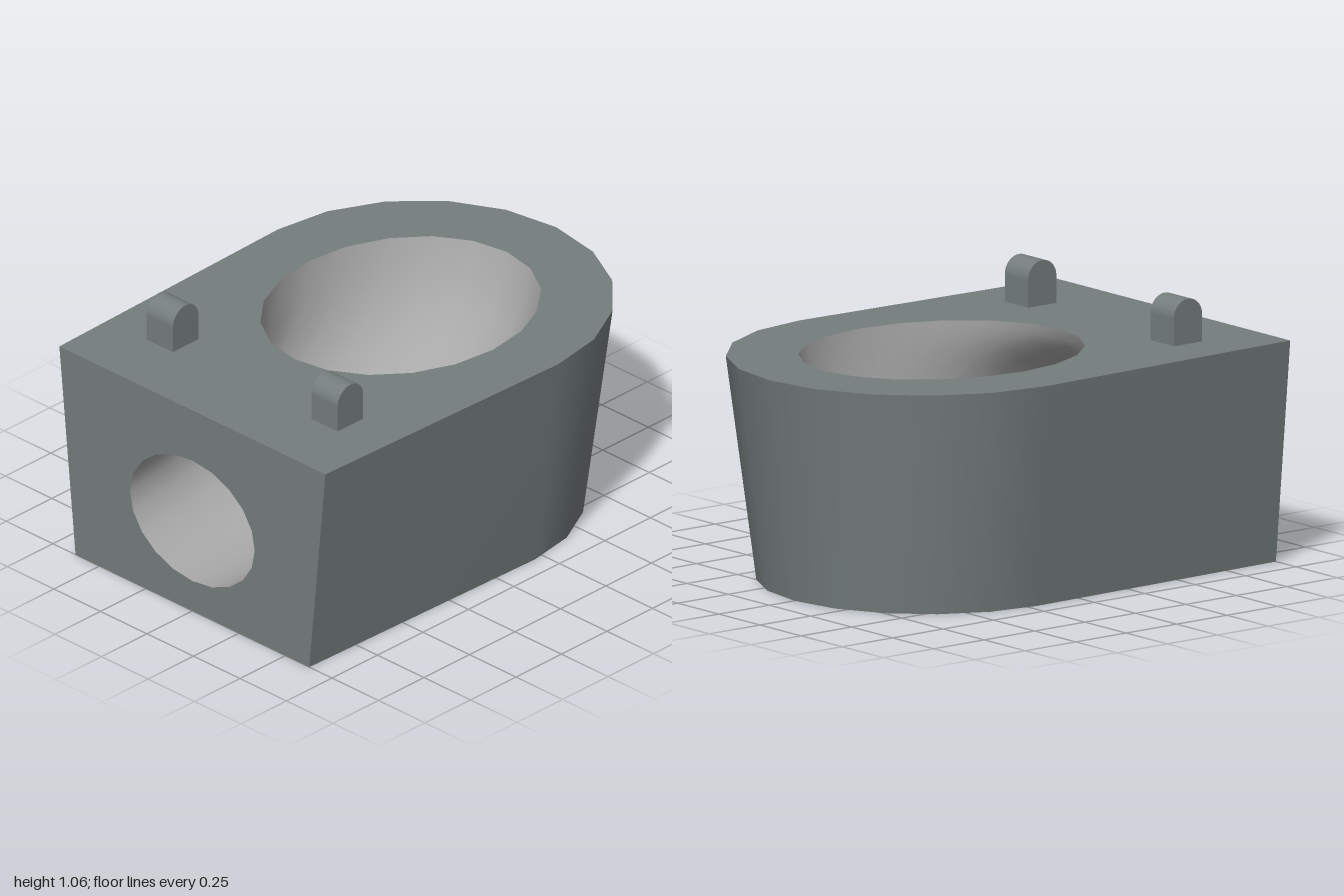
import * as THREE from 'three';

const TOP = 0.885, BACK = -1, SEGMENTS = 20, BENDS = 10;

// Skin over a stack of point rows, smooth all over
function loft(rows, closed) {
  const n = rows[0].length, index = [];
  for (let r = 0; r < rows.length - 1; r++) {
    for (let i = 0; i < (closed ? n : n - 1); i++) {
      const j = (i + 1) % n, upper = r * n, lower = upper + n;
      index.push(lower + i, lower + j, upper + j, lower + i, upper + j, upper + i);
    }
  }
  const geometry = new THREE.BufferGeometry().setFromPoints(rows.flat());
  geometry.setIndex(index);
  geometry.computeVertexNormals();
  return geometry;
}

// Half-round outline with a straight, slightly narrowing tail
function outline(centre, radiusX, radiusZ, tail, y) {
  const points = [new THREE.Vector3(BACK, y, tail)];
  for (let i = 0; i <= 10; i++) {
    const a = Math.PI / 2 - (i * Math.PI) / 10;
    points.push(new THREE.Vector3(centre + radiusX * Math.cos(a), y, radiusZ * Math.sin(a)));
  }
  points.push(new THREE.Vector3(BACK, y, -tail));
  return points;
}

const flatShape = (points, u, v) => new THREE.Shape(points.map(p => new THREE.Vector2(p[u], p[v])));

export function createModel() {
  const group = new THREE.Group();
  const shell = new THREE.MeshStandardMaterial({ name: 'shellGrey', color: 0x757d7d });
  const lining = new THREE.MeshStandardMaterial({ name: 'liningGrey', color: 0xa8a8a8, side: THREE.DoubleSide });
  const add = (name, geometry, material) => {
    const mesh = new THREE.Mesh(geometry, material);
    mesh.name = name;
    group.add(mesh);
    return mesh;
  };

  const rim = outline(0.24, 0.76, 0.753, 0.715, TOP);
  const foot = outline(0.21, 0.665, 0.66, 0.628, 0);

  // Rings of the top opening and the back opening, joined by bending curves
  const mouth = [], outlet = [], bends = [];
  for (let i = 0; i < SEGMENTS; i++) {
    const a = (i / SEGMENTS) * Math.PI * 2, c = Math.cos(a), s = Math.sin(a);
    const start = new THREE.Vector3(0.145 + 0.585 * c, TOP, 0.495 * s);
    const end = new THREE.Vector3(BACK, 0.398 - 0.266 * c, 0.335 * s);
    const corner = new THREE.Vector3(start.x, end.y, (start.z + end.z) / 2);
    const bend = start.clone().lerp(end, 0.5).lerp(corner, 0.85);
    mouth.push(start);
    outlet.push(end);
    bends.push(new THREE.QuadraticBezierCurve3(start, bend, end));
  }
  const rings = Array.from({ length: BENDS + 1 }, (_, r) => bends.map(curve => curve.getPoint(r / BENDS)));

  // Body
  add('sideWall', loft([rim, foot], false), shell);

  const topShape = flatShape(rim, 'x', 'z');
  topShape.holes.push(flatShape(mouth, 'x', 'z'));
  add('topPlate', new THREE.ShapeGeometry(topShape).rotateX(-Math.PI / 2).translate(0, TOP, 0), shell);

  add('basePlate', new THREE.ShapeGeometry(flatShape(foot, 'x', 'z')).rotateX(Math.PI / 2), shell);

  const backShape = flatShape([rim[0], rim.at(-1), foot.at(-1), foot[0]], 'z', 'y');
  backShape.holes.push(flatShape(outlet, 'z', 'y'));
  add('backPlate', new THREE.ShapeGeometry(backShape).rotateY(-Math.PI / 2).translate(BACK, 0, 0), shell);

  // Elbow channel from the top opening to the back opening
  add('innerChannel', loft(rings, true), lining);

  // Round-topped lugs
  const lugShape = new THREE.Shape();
  lugShape.moveTo(-0.07, 0);
  lugShape.lineTo(0.07, 0);
  lugShape.lineTo(0.07, 0.108);
  lugShape.absarc(0, 0.108, 0.07, 0, Math.PI, false);
  const lug = new THREE.ExtrudeGeometry(lugShape, { depth: 0.142, bevelEnabled: false, curveSegments: 16 });
  lug.translate(0, 0, -0.071);
  for (const side of [1, -1]) {
    add(side > 0 ? 'frontLug' : 'rearLug', lug, shell).position.set(-0.657, TOP, side * 0.443);
  }

  return group;
}
